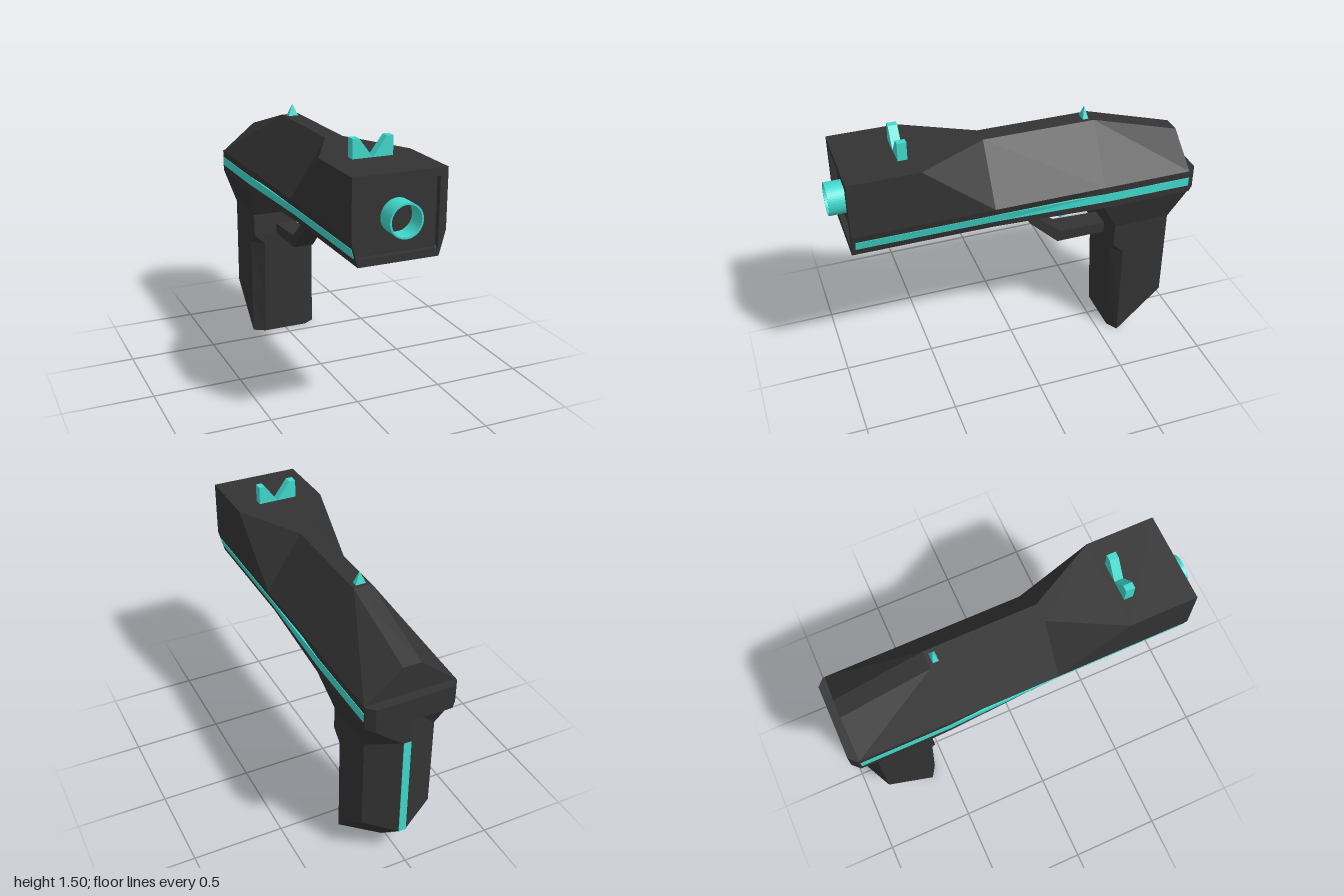
import * as THREE from 'three';

const dark = new THREE.MeshStandardMaterial({ color: 0x333333, flatShading: true });
const teal = new THREE.MeshStandardMaterial({ color: 0x40d8cc, flatShading: true });
const tealSmooth = new THREE.MeshStandardMaterial({ color: 0x40d8cc, side: THREE.DoubleSide });

// Skin a list of equal-length rings of [x, y, z] and cap both ends.
// Columns listed in flip split their quads along the other diagonal.
function loft(rings, flip = []) {
  const pos = [];
  const A = new THREE.Vector3(), B = new THREE.Vector3();
  const tri = (a, b, c) => {
    A.set(b[0] - a[0], b[1] - a[1], b[2] - a[2]);
    B.set(c[0] - a[0], c[1] - a[1], c[2] - a[2]);
    if (A.cross(B).length() > 1e-7) pos.push(...a, ...b, ...c);
  };
  const n = rings[0].length;
  for (let i = 0; i < rings.length - 1; i++) {
    for (let j = 0; j < n; j++) {
      const k = (j + 1) % n;
      const a = rings[i][j], b = rings[i][k], c = rings[i + 1][k], d = rings[i + 1][j];
      if (flip.includes(j)) { tri(a, d, b); tri(d, c, b); }
      else { tri(a, d, c); tri(a, c, b); }
    }
  }
  const first = rings[0], last = rings[rings.length - 1];
  for (let j = 1; j < n - 1; j++) {
    tri(first[0], first[j], first[j + 1]);
    tri(last[0], last[j + 1], last[j]);
  }
  const g = new THREE.BufferGeometry();
  g.setAttribute('position', new THREE.Float32BufferAttribute(pos, 3));
  g.computeVertexNormals();
  return g;
}

const shapeOf = (pts) => new THREE.Shape(pts.map(([x, y]) => new THREE.Vector2(x, y)));

// Side profile of [z, y] points, extruded to a width centred on x = 0
function sideExtrude(pts, width) {
  const g = new THREE.ExtrudeGeometry(shapeOf(pts), { depth: width, bevelEnabled: false });
  return g.translate(0, 0, -width / 2).rotateY(-Math.PI / 2);
}

export function createModel() {
  const model = new THREE.Group();
  const add = (name, geometry, material) => {
    const mesh = new THREE.Mesh(geometry, material);
    mesh.name = name;
    model.add(mesh);
    return mesh;
  };

  // Body: recessed muzzle face, square front, peaked middle, sloping rear
  const section = (z, bottomX, midX, topX, topY, bottomY = 0.96) => [
    [bottomX, bottomY, z], [midX, 1.09, z], [topX, topY, z],
    [-topX, topY, z], [-midX, 1.09, z], [-bottomX, bottomY, z],
  ];
  add('body', loft([
    section(0.90, 0.21, 0.21, 0.21, 1.36, 1.0),
    section(0.93, 0.21, 0.21, 0.21, 1.36, 1.0),
    section(0.93, 0.215, 0.25, 0.25, 1.4),
    section(0.55, 0.215, 0.25, 0.25, 1.4),
    section(0.17, 0.215, 0.25, 0.05, 1.4),
    section(-0.45, 0.25, 0.25, 0.05, 1.4),
    section(-0.95, 0.25, 0.25, 0.05, 1.25),
  ], [1, 4]), dark);

  // Rear plate with chamfered corners
  const plate = (z, x) => [[x, 0.96, z], [x, 1.09, z], [-x, 1.09, z], [-x, 0.96, z]];
  add('rearPlate', loft([plate(-0.945, 0.25), plate(-0.96, 0.25), plate(-1, 0.21)]), dark);

  // Side stripes following the lower side faces
  const stripe = (side) => loft([[0.91, 0.215], [0.17, 0.215], [-0.45, 0.25], [-0.95, 0.25]].map(([z, b]) => {
    const x = (y) => b + (0.25 - b) * (y - 0.96) / 0.13 + 0.003;
    const ring = [[x(1.0), 1.0, z], [x(1.05), 1.05, z], [x(1.05) - 0.02, 1.05, z], [x(1.0) - 0.02, 1.0, z]];
    return side > 0 ? ring : ring.map(([px, y, pz]) => [-px, y, pz]).reverse();
  }));
  add('leftStripe', stripe(1), teal);
  add('rightStripe', stripe(-1), teal);

  // Barrel ring
  const ring = new THREE.Shape().absarc(0, 0, 0.088, 0, Math.PI * 2);
  ring.holes.push(new THREE.Path().absarc(0, 0, 0.079, 0, Math.PI * 2, true));
  const barrel = new THREE.ExtrudeGeometry(ring, { depth: 0.1, bevelEnabled: false, curveSegments: 24 });
  add('barrel', barrel.translate(0, 1.183, 0.9), tealSmooth);

  // Grip: y, front half width, half width, front z, side front z, side back z, ridge z, ridge y
  const grip = [
    [0.96, 0.25, 0.25, -0.45, -0.45, -0.95, -0.95, 0.96],
    [0.78, 0.2, 0.2, -0.55, -0.55, -0.87, -0.95, 0.78],
    [0.65, 0.2, 0.2, -0.545, -0.545, -0.87, -0.95, 0.65],
    [0.59, 0.135, 0.2, -0.548, -0.61, -0.87, -0.95, 0.59],
    [0.25, 0.135, 0.2, -0.56, -0.61, -0.87, -0.95, 0.18],
    [0, 0.135, 0.2, -0.57, -0.61, -0.61, -0.77, 0],
  ].map(([y, f, w, zF, zS, zB, zK, yK]) => {
    const half = [[f, y, zF], [w, y, zS], [w, y, zB], [0.02, yK, zK]];
    return [...half, ...half.map(([x, py, z]) => [-x, py, z]).reverse()];
  });
  add('grip', loft(grip), dark);

  // Stripe down the back ridge of the grip
  add('gripStripe', sideExtrude([
    [-0.953, 0.78], [-0.953, 0.18], [-0.773, 0], [-0.74, 0], [-0.92, 0.2], [-0.92, 0.78],
  ], 0.042), teal);

  // Trigger guard and trigger
  add('triggerGuard', sideExtrude([
    [-0.09, 0.97], [-0.09, 0.815], [-0.26, 0.65], [-0.56, 0.65],
    [-0.56, 0.71], [-0.275, 0.72], [-0.155, 0.82], [-0.155, 0.97],
  ], 0.12), dark);
  add('trigger', sideExtrude([
    [-0.31, 0.97], [-0.28, 0.79], [-0.32, 0.8], [-0.405, 0.97],
  ], 0.06), teal);

  // Notched front sight
  const sight = new THREE.ExtrudeGeometry(shapeOf([
    [-0.11, 1.395], [0.11, 1.395], [0.11, 1.5], [0.075, 1.5], [0, 1.4], [-0.075, 1.5], [-0.11, 1.5],
  ]), { depth: 0.05, bevelEnabled: false });
  add('frontSight', sight.translate(0, 0, 0.585), teal);

  // Pyramid rear sight
  const pyramid = new THREE.ConeGeometry(Math.SQRT2, 0.07, 4).rotateY(Math.PI / 4).scale(0.03, 1, 0.017);
  add('rearSight', pyramid.translate(0, 1.432, -0.412), teal);

  return model;
}
